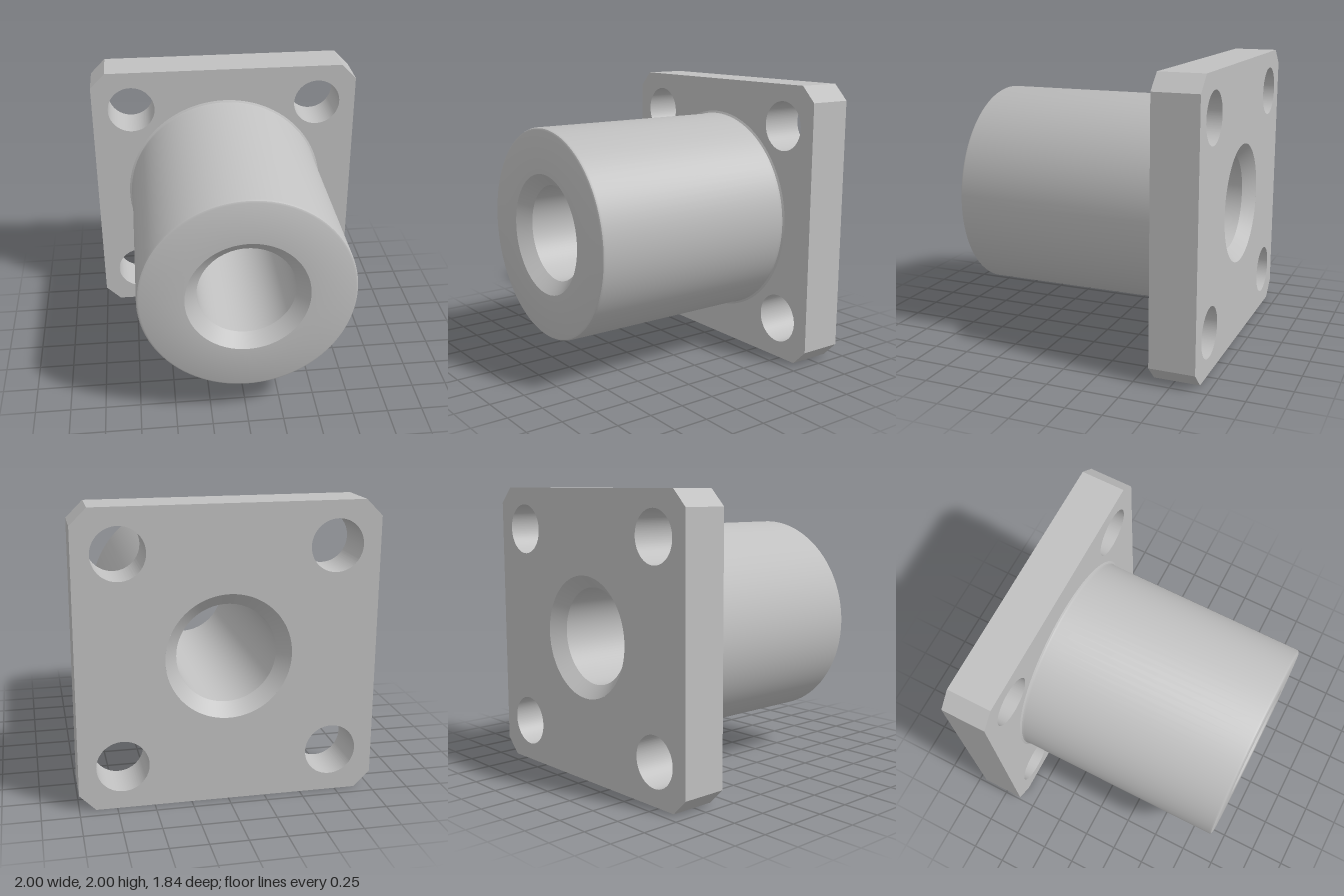
import * as THREE from 'three';
import { toCreasedNormals } from 'three/addons/utils/BufferGeometryUtils.js';

const SEGMENTS = 96;
const BACK = -0.92, FLANGE_FRONT = -0.605, FRONT = 0.92;
const BORE_R = 0.335, SINK_R = 0.42, SINK_DEPTH = 0.085, BARREL_R = 0.735;

function circleHole(x, y, r) {
  const path = new THREE.Path();
  path.absarc(x, y, r, 0, Math.PI * 2, true);
  return path;
}

// Square plate with cut corners, four bolt holes and a central opening
function flangeGeometry() {
  const c = 0.89;
  const shape = new THREE.Shape([
    [c, -1], [1, -c], [1, c], [c, 1], [-c, 1], [-1, c], [-1, -c], [-c, -1],
  ].map(([x, y]) => new THREE.Vector2(x, y)));
  for (const sx of [-1, 1]) {
    for (const sy of [-1, 1]) shape.holes.push(circleHole(sx * 0.707, sy * 0.707, 0.175));
  }
  shape.holes.push(circleHole(0, 0, SINK_R));
  const geometry = new THREE.ExtrudeGeometry(shape, {
    depth: FLANGE_FRONT - BACK, bevelEnabled: false, curveSegments: SEGMENTS,
  });
  geometry.translate(0, 0, BACK);
  return toCreasedNormals(geometry, 0.4);
}

// Turned profile: outer wall, rounded front rim, then the countersunk bore
function barrelGeometry() {
  const profile = [
    [0.755, FLANGE_FRONT], [0.74, -0.597], [BARREL_R, -0.582],
    [BARREL_R, FRONT - 0.018], [BARREL_R - 0.006, FRONT - 0.006], [BARREL_R - 0.018, FRONT],
    [SINK_R, FRONT], [BORE_R, FRONT - SINK_DEPTH],
    [BORE_R, BACK + SINK_DEPTH], [SINK_R, BACK],
  ].map(([r, z]) => new THREE.Vector2(r, z));
  const geometry = new THREE.LatheGeometry(profile, SEGMENTS);
  geometry.rotateX(Math.PI / 2);
  return toCreasedNormals(geometry, 0.6);
}

export function createModel() {
  const steel = new THREE.MeshStandardMaterial({ color: 0xc0c0c0 });
  steel.name = 'steel grey';

  const group = new THREE.Group();
  group.name = 'flangedBushing';
  const parts = { flange: flangeGeometry(), barrel: barrelGeometry() };
  for (const [name, geometry] of Object.entries(parts)) {
    const mesh = new THREE.Mesh(geometry, steel);
    mesh.name = name;
    mesh.position.y = 1;
    group.add(mesh);
  }
  return group;
}
